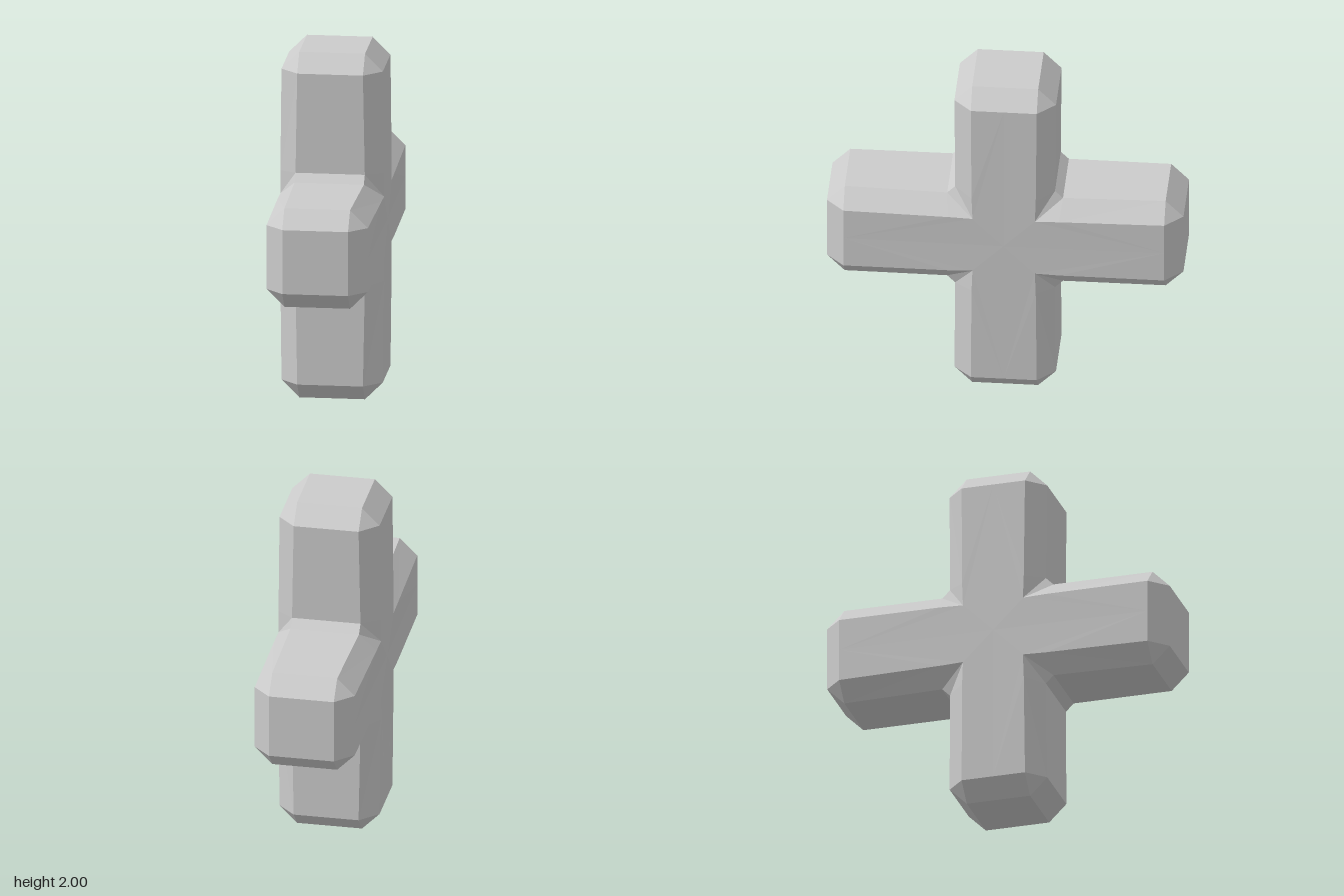
import * as THREE from 'three';

// Corner points of one sixteenth of the cross, relative to its centre.
// x is the thickness, y runs along the arm, z across it (z <= y).
const END = 1, SHOULDER = 0.9, FLAT = 0.185, HALF = 0.285, WAIST = 0.292;
const tip = [FLAT, END, FLAT];
const shoulderZ = [FLAT, SHOULDER, HALF];
const shoulderX = [HALF, SHOULDER, FLAT];
const rootZ = [0.195, 0.325, 0.28];
const rootX = [WAIST, 0.31, 0.18];
const crotch = [0.195, 0.3025, 0.3025];
const pit = [WAIST, 0.175, 0.175];
const mid = ([, y, z]) => [0, y, z];  // on the plane x = 0
const axis = ([x, y]) => [x, y, 0];   // on the plane z = 0

const FACES = [
  [[0, END, 0], mid(tip), tip, axis(tip)],                    // end cap
  [mid(tip), tip, shoulderZ, mid(shoulderZ)],                 // end bevels
  [axis(tip), tip, shoulderX, axis(shoulderX)],
  [tip, shoulderZ, shoulderX],                                // end corner
  [mid(shoulderZ), shoulderZ, rootZ, mid(rootZ)],             // arm side
  [shoulderZ, shoulderX, rootX, rootZ],                       // arm bevel
  [axis(shoulderX), shoulderX, rootX, pit, [WAIST, 0, 0]],    // broad face
  [mid(rootZ), rootZ, crotch, mid(crotch)],                   // inner fillet
  [rootZ, rootX, pit],                                        // inner corner patch
  [rootZ, pit, crotch],
];

function crossGeometry() {
  const positions = [];
  const ab = new THREE.Vector3(), ac = new THREE.Vector3();

  // The body is star-shaped, so outward means away from the centre
  const addTriangle = (a, b, c) => {
    ab.subVectors(b, a);
    ac.subVectors(c, a);
    const outward = ab.cross(ac).dot(a) > 0;
    for (const p of outward ? [a, b, c] : [a, c, b]) positions.push(p.x, p.y, p.z);
  };

  // Mirror in all three axes, and swap y and z for the crossing arms
  for (const sx of [1, -1]) for (const sy of [1, -1]) for (const sz of [1, -1])
    for (const swap of [false, true])
      for (const face of FACES) {
        const pts = face.map(([x, y, z]) => swap
          ? new THREE.Vector3(sx * x, sy * z, sz * y)
          : new THREE.Vector3(sx * x, sy * y, sz * z));
        for (let i = 1; i < pts.length - 1; i++) addTriangle(pts[0], pts[i], pts[i + 1]);
      }

  const geometry = new THREE.BufferGeometry();
  geometry.setAttribute('position', new THREE.Float32BufferAttribute(positions, 3));
  geometry.computeVertexNormals();
  return geometry;
}

export function createModel() {
  const group = new THREE.Group();
  group.name = 'bevelledCross';
  const material = new THREE.MeshStandardMaterial({ color: 0xcccccc, flatShading: true });
  const body = new THREE.Mesh(crossGeometry(), material);
  body.name = 'crossBody';
  body.position.y = 1;
  group.add(body);
  return group;
}
